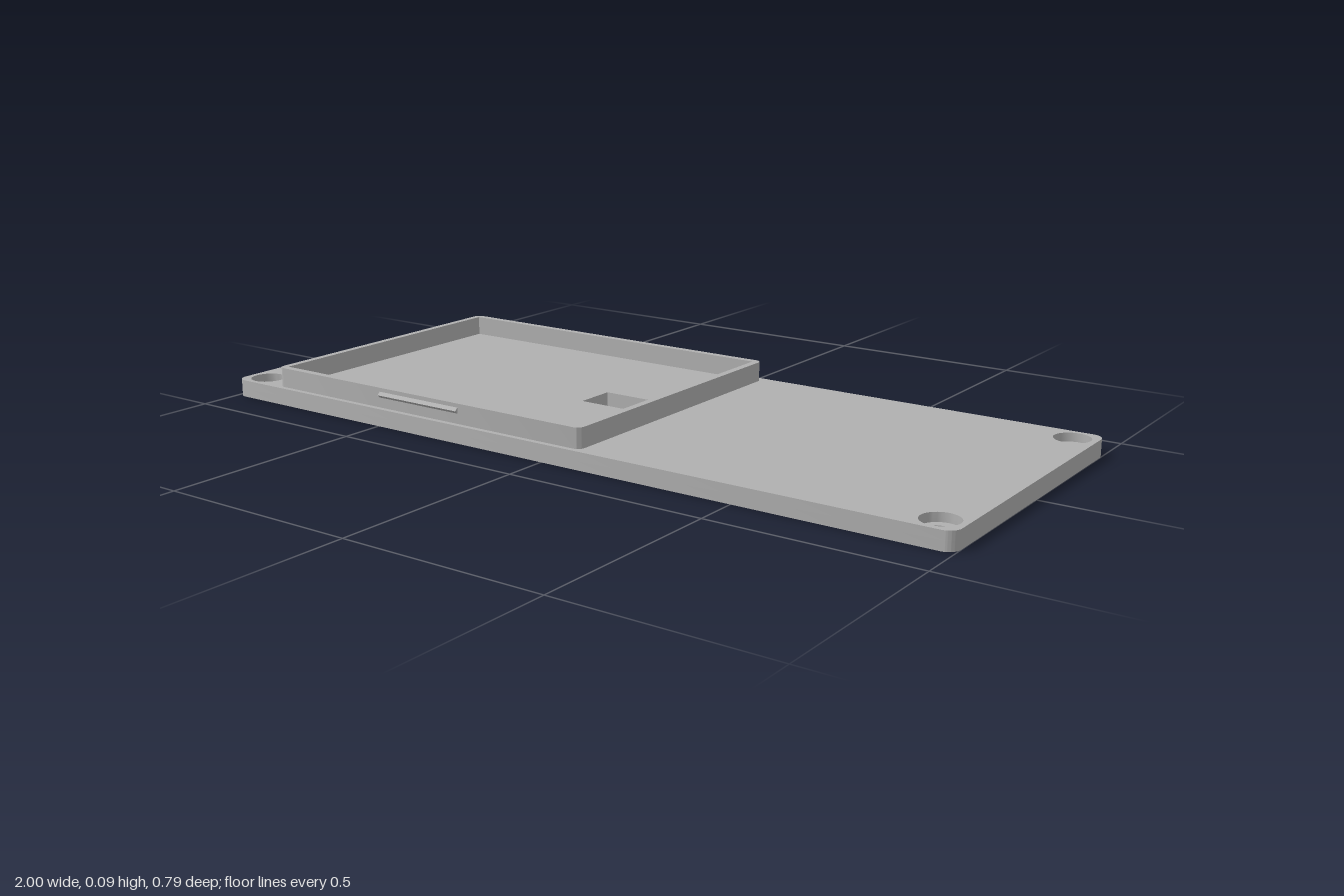
import * as THREE from 'three';
import { toCreasedNormals } from 'three/addons/utils/BufferGeometryUtils.js';

const PLATE_TOP = 0.043, BORE_FLOOR = 0.022, FRAME_TOP = 0.092;

// Rounded rectangle traced on the ground plane
function roundedRect(path, x0, x1, halfZ, r) {
  path.moveTo(x0 + r, -halfZ);
  path.lineTo(x1 - r, -halfZ);
  path.absarc(x1 - r, -halfZ + r, r, -Math.PI / 2, 0);
  path.lineTo(x1, halfZ - r);
  path.absarc(x1 - r, halfZ - r, r, 0, Math.PI / 2);
  path.lineTo(x0 + r, halfZ);
  path.absarc(x0 + r, halfZ - r, r, Math.PI / 2, Math.PI);
  path.lineTo(x0, -halfZ + r);
  path.absarc(x0 + r, -halfZ + r, r, Math.PI, Math.PI * 1.5);
  return path;
}

function rect(x0, x1, halfZ) {
  return new THREE.Path([
    [x0, -halfZ], [x0, halfZ], [x1, halfZ], [x1, -halfZ],
  ].map(([x, z]) => new THREE.Vector2(x, z)));
}

// Stand an outline up between two heights
function slab(shape, y0, y1) {
  const geo = new THREE.ExtrudeGeometry(shape, { depth: y1 - y0, bevelEnabled: false, curveSegments: 16 });
  geo.rotateX(-Math.PI / 2);
  geo.translate(0, y0, 0);
  return toCreasedNormals(geo, 0.6);
}

// Plate outline with the window and four screw holes
function plateShape(holeRadius) {
  const shape = roundedRect(new THREE.Shape(), -1, 1, 0.393, 0.03);
  shape.holes.push(rect(-0.146, 0.03, 0.051));
  for (const x of [-0.943, 0.943]) {
    for (const z of [-0.338, 0.338]) {
      shape.holes.push(new THREE.Path().absarc(x, z, holeRadius, 0, Math.PI * 2, true));
    }
  }
  return shape;
}

export function createModel() {
  const model = new THREE.Group();
  model.name = 'coverPlate';
  const grey = new THREE.MeshStandardMaterial({ color: 0xb0b0b0 });
  grey.name = 'grey plastic';

  const add = (name, geometry) => {
    const mesh = new THREE.Mesh(geometry, grey);
    mesh.name = name;
    model.add(mesh);
    return mesh;
  };

  // Plate in two layers, so the screw holes are counterbored
  add('plateLower', slab(plateShape(0.022), 0, BORE_FLOOR));
  add('plateUpper', slab(plateShape(0.043), BORE_FLOOR, PLATE_TOP));

  // Raised rim with a rounded outside and square inside
  const rim = roundedRect(new THREE.Shape(), -0.855, 0.1, 0.38, 0.018);
  rim.holes.push(rect(-0.838, 0.082, 0.362));
  add('rim', slab(rim, PLATE_TOP, FRAME_TOP));

  // Wedge-shaped snap ridges on both long sides of the rim
  const wedge = new THREE.Shape([
    new THREE.Vector2(-0.002, -0.009), new THREE.Vector2(0.008, 0), new THREE.Vector2(-0.002, 0.009),
  ]);
  for (const side of [1, -1]) {
    const geo = new THREE.ExtrudeGeometry(wedge, { depth: 0.248, bevelEnabled: false });
    geo.translate(0, 0, -0.124);
    geo.rotateY(-side * Math.PI / 2);
    add(side > 0 ? 'frontSnapRidge' : 'backSnapRidge', geo).position.set(-0.38, 0.075, side * 0.38);
  }
  return model;
}
